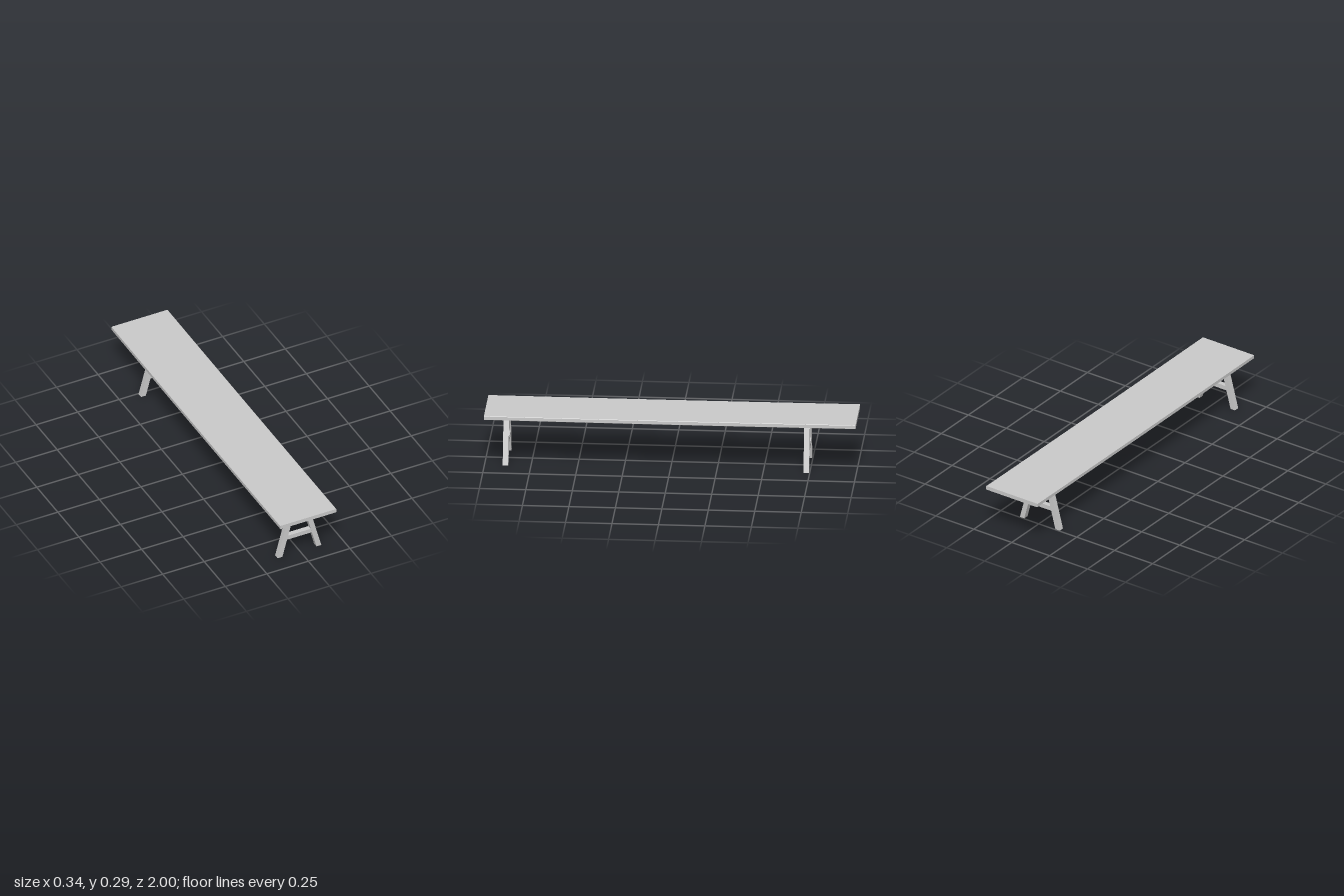
import * as THREE from 'three';

const material = new THREE.MeshStandardMaterial({ color: 0xcccccc, flatShading: true });

// Extrudes an xy outline along z, centred on the given z
function slab(name, points, depth, z = 0, steps = 1) {
  const shape = new THREE.Shape(points.map(([x, y]) => new THREE.Vector2(x, y)));
  const geometry = new THREE.ExtrudeGeometry(shape, { depth, steps, bevelEnabled: false });
  geometry.translate(0, 0, z - depth / 2);
  const mesh = new THREE.Mesh(geometry, material);
  mesh.name = name;
  return mesh;
}

// Long plank with eased edges and a very slight sag in the middle
function createTop() {
  const w = 0.169, bottom = 0.271, top = 0.293, c = 0.002;
  const outline = [
    [-w + c, bottom], [w - c, bottom], [w, bottom + c], [w, top - c],
    [w - c, top], [-w + c, top], [-w, top - c], [-w, bottom + c],
  ];
  const mesh = slab('tabletop', outline, 2, 0, 20);
  const p = mesh.geometry.attributes.position;
  for (let i = 0; i < p.count; i++) {
    const z = p.getZ(i);
    p.setY(i, p.getY(i) - 0.002 * (1 - z * z));
  }
  mesh.geometry.computeVertexNormals();
  return mesh;
}

// A-shaped trestle: two slanted legs joined by a crossbar
function createTrestle(name, z) {
  const trestle = new THREE.Group();
  trestle.name = name;
  const height = 0.272, half = 0.0145, foot = 0.117, head = 0.045;
  for (const side of [-1, 1]) {
    const outline = [
      [side * foot - half, 0], [side * foot + half, 0],
      [side * head + half, height], [side * head - half, height],
    ];
    trestle.add(slab(side > 0 ? 'leftLeg' : 'rightLeg', outline, 0.03));
  }
  // Crossbar ends follow the slant of the legs
  const innerX = (y) => foot - half - (foot - head) * y / height;
  const y0 = 0.104, y1 = 0.129;
  trestle.add(slab('crossbar', [
    [-innerX(y0), y0], [innerX(y0), y0], [innerX(y1), y1], [-innerX(y1), y1],
  ], 0.028));
  trestle.position.set(-0.004, 0, z);
  return trestle;
}

export function createModel() {
  const model = new THREE.Group();
  model.name = 'trestleTable';
  model.add(createTop(), createTrestle('frontTrestle', 0.887), createTrestle('backTrestle', -0.731));
  return model;
}
